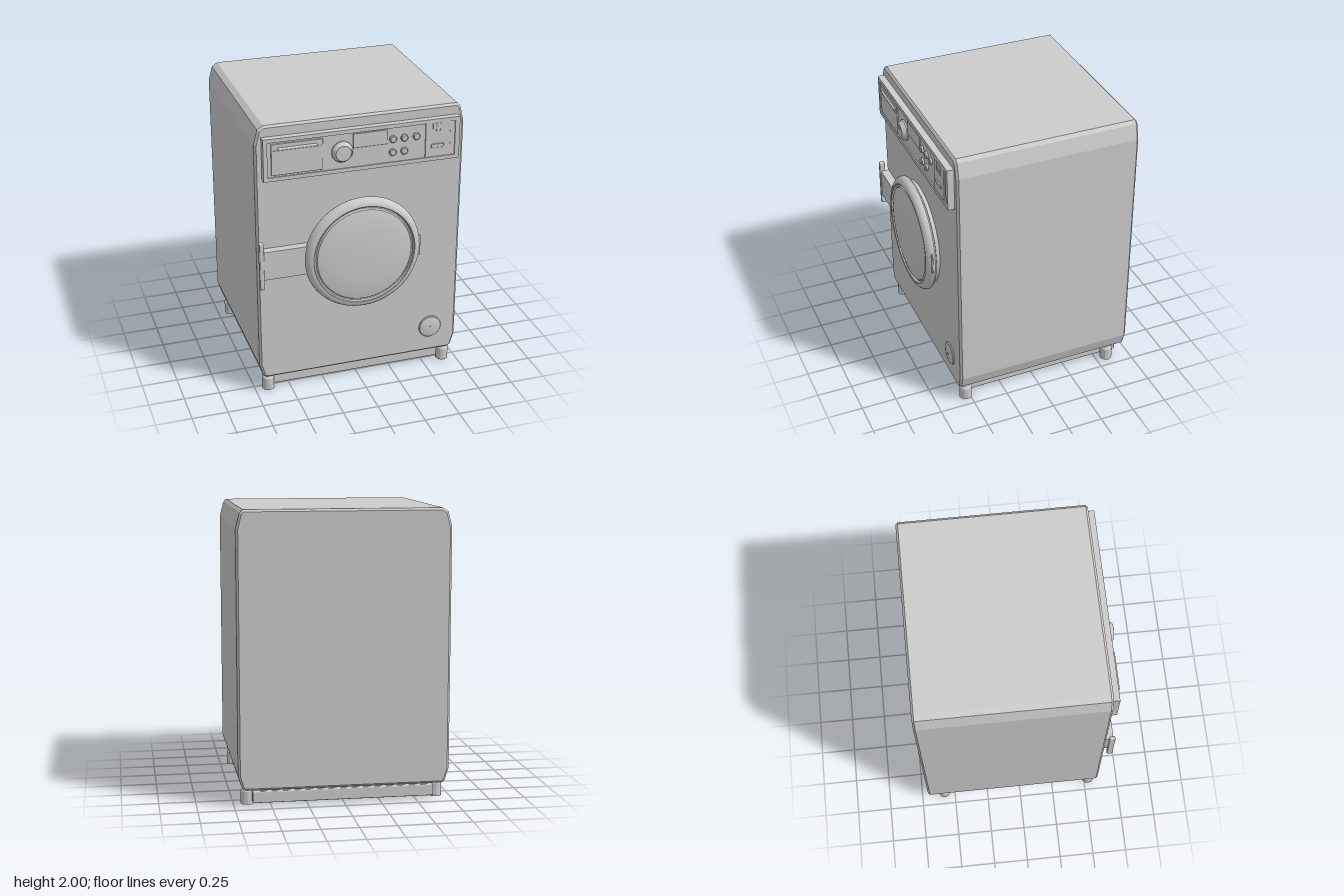
import * as THREE from 'three';
import { toCreasedNormals } from 'three/addons/utils/BufferGeometryUtils.js';
import { RoundedBoxGeometry } from 'three/addons/geometries/RoundedBoxGeometry.js';

export function createModel() {
  const model = new THREE.Group();
  const grey = new THREE.MeshStandardMaterial({ color: 0xcccccc });
  grey.name = 'light grey enamel';

  const add = (name, geometry, x = 0, y = 0, z = 0) => {
    const mesh = new THREE.Mesh(geometry, grey);
    mesh.name = name;
    mesh.position.set(x, y, z);
    model.add(mesh);
    return mesh;
  };
  // Box given by its limits on each axis
  const block = (name, x0, x1, y0, y1, z0, z1, r = 0) => {
    const size = [x1 - x0, y1 - y0, z1 - z0];
    const g = r ? new RoundedBoxGeometry(...size, 2, r) : new THREE.BoxGeometry(...size);
    return add(name, g, (x0 + x1) / 2, (y0 + y1) / 2, (z0 + z1) / 2);
  };
  // Round part facing the front; profile is [radius, z] from back to front
  const turned = (name, profile, x, y, segments = 48) => {
    const g = new THREE.LatheGeometry(profile.map(p => new THREE.Vector2(...p)), segments);
    g.rotateX(Math.PI / 2);
    return add(name, toCreasedNormals(g, 0.6), x, y, 0);
  };
  const polygon = points => new THREE.Shape(points.map(p => new THREE.Vector2(...p)));
  const rectangle = (x0, x1, y0, y1) => polygon([[x0, y0], [x1, y0], [x1, y1], [x0, y1]]);
  const frame = (name, outer, inner, z0, z1) => {
    const shape = rectangle(...outer);
    shape.holes.push(rectangle(...inner));
    return add(name, new THREE.ExtrudeGeometry(shape, { depth: z1 - z0, bevelEnabled: false }), 0, 0, z0);
  };

  // Cabinet: chamfered outline with bevelled front and back edges
  const bevel = 0.015;
  const outline = polygon([
    [-0.67, 0.13], [0.67, 0.13], [0.685, 0.14], [0.71, 0.22], [0.71, 1.87], [0.685, 1.97],
    [0.67, 1.985], [-0.655, 1.985], [-0.685, 1.965], [-0.71, 1.87], [-0.71, 0.22], [-0.685, 0.14],
  ]);
  add('cabinet', new THREE.ExtrudeGeometry(outline, {
    depth: 1.29 - 2 * bevel, bevelSize: bevel, bevelThickness: bevel, bevelSegments: 1,
  }), 0, 0, -0.7 + bevel);

  // Plinth and feet
  block('plinth', -0.625, 0.625, 0.02, 0.1, -0.667, 0.53, 0.008);
  block('plinthNeck', -0.6, 0.6, 0.09, 0.125, -0.64, 0.5);
  for (const x of [-0.655, 0.655]) {
    for (const z of [-0.58, 0.53]) {
      const foot = new THREE.LatheGeometry(
        [[0, 0], [0.044, 0], [0.044, 0.09], [0.034, 0.105], [0.034, 0.125], [0, 0.125]]
          .map(p => new THREE.Vector2(...p)), 12);
      add('foot', toCreasedNormals(foot, 0.4), x, 0, z);
    }
  }

  // Control panel with a raised border
  block('controlPanel', -0.678, 0.678, 1.628, 1.925, 0.58, 0.628);
  frame('panelBorder', [-0.678, 0.678, 1.628, 1.925], [-0.65, 0.645, 1.655, 1.898], 0.628, 0.636);

  // Detergent drawer
  block('drawerFront', -0.625, -0.277, 1.668, 1.887, 0.62, 0.638, 0.004);
  block('drawerGripLip', -0.615, -0.285, 1.832, 1.842, 0.63, 0.642);
  const grip = new THREE.CapsuleGeometry(0.01, 0.25, 4, 10);
  grip.rotateZ(Math.PI / 2);
  add('drawerGrip', grip, -0.45, 1.852, 0.641);

  // Programme knob with pointer
  turned('programmeKnob', [[0.073, 0.62], [0.073, 0.638], [0.066, 0.644], [0.06, 0.662],
    [0.053, 0.668], [0, 0.668]], -0.145, 1.775, 32);
  block('knobPointer', -0.149, -0.141, 1.79, 1.825, 0.664, 0.671);

  // Display and buttons
  block('display', -0.07, 0.17, 1.79, 1.892, 0.62, 0.637, 0.004);
  for (const [x, y] of [[0.205, 1.82], [0.285, 1.82], [0.37, 1.82], [0.205, 1.727], [0.285, 1.727]]) {
    turned('button', [[0.025, 0.62], [0.025, 0.64], [0.019, 0.646], [0, 0.647]], x, y, 16);
  }

  // Power section
  block('powerPlate', 0.435, 0.61, 1.656, 1.9, 0.62, 0.635, 0.003);
  frame('powerSwitchFrame', [0.485, 0.56, 1.825, 1.895], [0.505, 0.54, 1.842, 1.88], 0.634, 0.639);
  block('powerSwitch', 0.508, 0.537, 1.845, 1.877, 0.632, 0.638);
  block('indicator', 0.475, 0.565, 1.722, 1.75, 0.63, 0.642, 0.005);

  // Door: collar, rounded ring with a groove, and domed window
  turned('doorCollar', [[0.372, 0.58], [0.372, 0.628]], 0, 1.022, 64);
  turned('doorRing', [[0, 0.622], [0.395, 0.622], [0.405, 0.627], [0.41, 0.637], [0.407, 0.653],
    [0.4, 0.668], [0.387, 0.682], [0.372, 0.689], [0.36, 0.69], [0.355, 0.686], [0.351, 0.67],
    [0.338, 0.668]], 0, 1.022, 64);
  turned('doorWindow', [[0.342, 0.66], [0.34, 0.676], [0.334, 0.684], [0.3, 0.692], [0.2, 0.7],
    [0.1, 0.704], [0, 0.705]], 0, 1.022, 64);
  block('doorGrip', 0.385, 0.411, 0.945, 1.1, 0.651, 0.663, 0.004);

  // Hinge arm and its upright pin plate
  block('hingeArm', -0.695, -0.36, 0.92, 1.127, 0.585, 0.648);
  block('hingePlate', -0.722, -0.692, 0.85, 1.195, 0.615, 0.655, 0.008);

  // Drain filter cap
  turned('filterCap', [[0.083, 0.58], [0.083, 0.596], [0.078, 0.602], [0.05, 0.608], [0, 0.61]],
    0.53, 0.315, 40);
  turned('filterCapPin', [[0.009, 0.6], [0.009, 0.613], [0, 0.613]], 0.53, 0.315, 12);

  return model;
}
